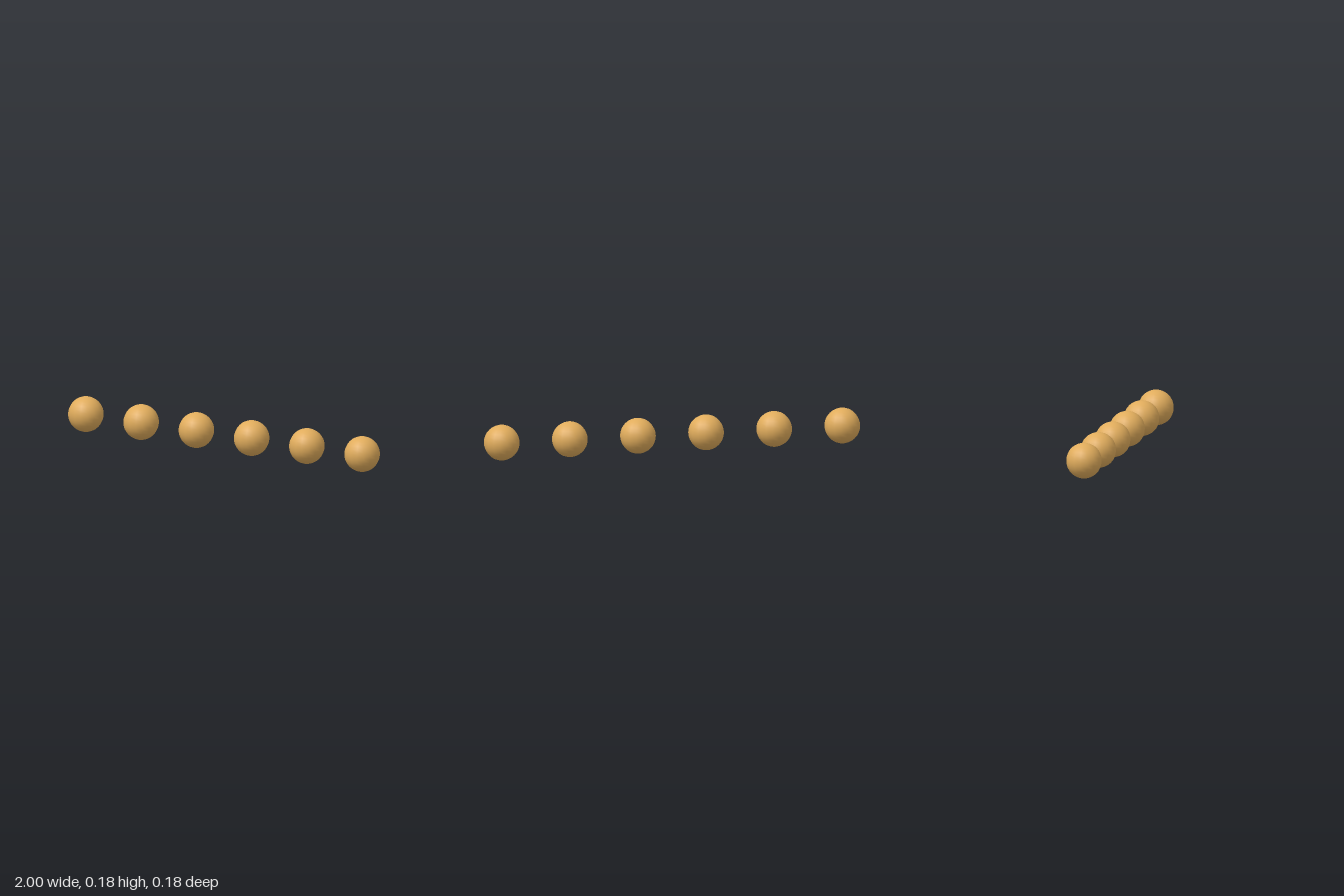
import * as THREE from 'three';

export function createModel() {
  const group = new THREE.Group();
  group.name = 'ballRow';

  const count = 6;
  const radius = 1 / 11;
  const spacing = radius * 4; // gap between balls equals one diameter

  const geometry = new THREE.SphereGeometry(radius, 16, 16);
  const material = new THREE.MeshStandardMaterial({ color: 0xe0ac5c });

  // Evenly spaced row of balls resting on the ground
  for (let i = 0; i < count; i++) {
    const ball = new THREE.Mesh(geometry, material);
    ball.name = `ball${i + 1}`;
    ball.position.set((i - (count - 1) / 2) * spacing, radius, 0);
    group.add(ball);
  }

  return group;
}
